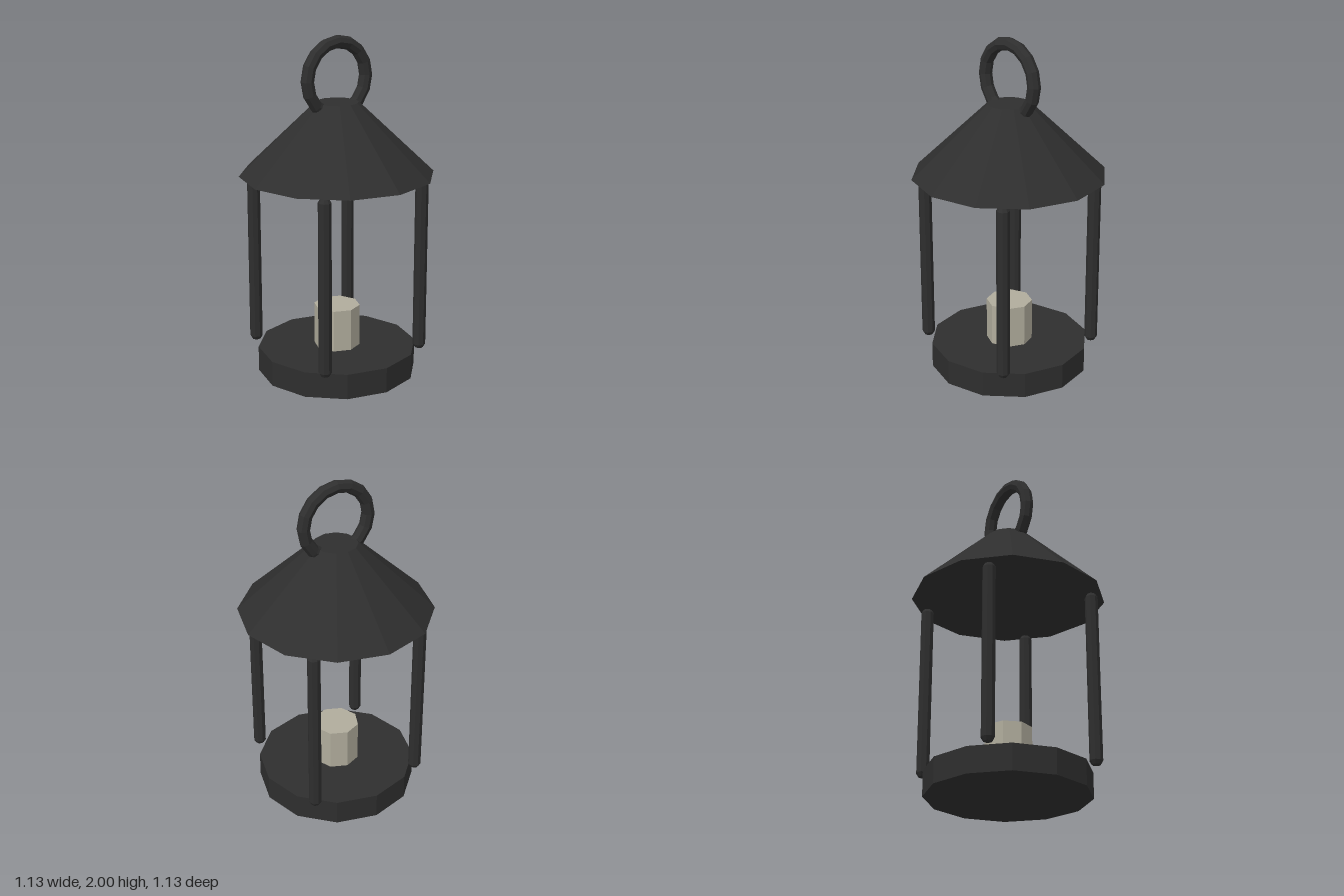
import * as THREE from 'three';

export function createModel() {
  const lantern = new THREE.Group();
  lantern.name = 'lantern';

  const material = (name, color) => {
    const m = new THREE.MeshStandardMaterial({ color, flatShading: true });
    m.name = name;
    return m;
  };
  const blackIron = material('black iron', 0x2e2e2e);
  const wax = material('candle wax', 0xb0ac9c);

  const add = (name, geometry, mat, x, y, z) => {
    const mesh = new THREE.Mesh(geometry, mat);
    mesh.name = name;
    mesh.position.set(x, y, z);
    lantern.add(mesh);
  };

  // Twelve-sided base and roof
  add('base', new THREE.CylinderGeometry(0.47, 0.47, 0.15, 12), blackIron, 0, 0.075, 0);
  add('roof', new THREE.CylinderGeometry(0.125, 0.565, 0.42, 12), blackIron, 0, 1.41, 0);

  // Candle
  add('candle', new THREE.CylinderGeometry(0.136, 0.136, 0.25, 8), wax, 0, 0.275, 0);

  // Four corner posts with chamfered ends
  const profile = [[0, 0.15], [0.025, 0.153], [0.038, 0.175], [0.038, 1.167], [0.025, 1.188], [0, 1.191]]
    .map(([r, y]) => new THREE.Vector2(r, y));
  const postGeometry = new THREE.LatheGeometry(profile, 8);
  for (const x of [-0.347, 0.347]) {
    for (const z of [-0.347, 0.347]) {
      add((z > 0 ? 'front' : 'back') + (x > 0 ? 'Left' : 'Right') + 'Post', postGeometry, blackIron, x, 0, z);
    }
  }

  // Carrying ring, its lower part sunk into the roof
  add('handleRing', new THREE.TorusGeometry(0.206, 0.038, 8, 16), blackIron, 0, 1.756, 0);

  return lantern;
}
